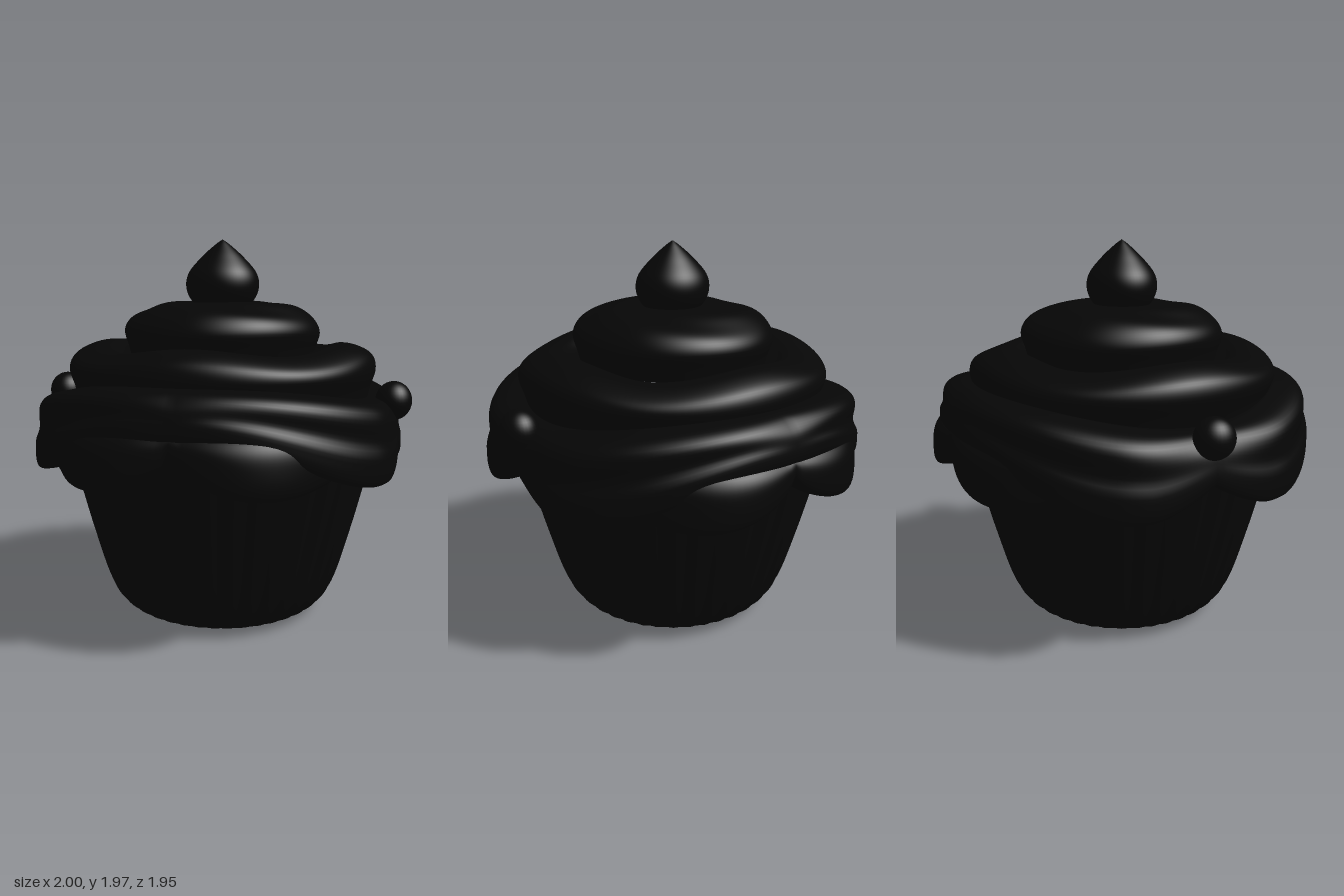
import * as THREE from 'three';
import { mergeVertices } from 'three/addons/utils/BufferGeometryUtils.js';

const material = new THREE.MeshStandardMaterial({ color: 0x060606 });
const { smoothstep, clamp, degToRad, radToDeg } = THREE.MathUtils;

// Smooth revolved surface; warp(angle, r, y) returns the adjusted [r, y].
// Profiles run bottom to top so that faces point outward.
function revolve(name, profile, segments, warp) {
  const curve = new THREE.SplineCurve(profile.map(([r, y]) => new THREE.Vector2(r, y)));
  const points = curve.getPoints(profile.length * 5).map(p => new THREE.Vector2(Math.max(p.x, 0), p.y));
  let geometry = new THREE.LatheGeometry(points, segments);
  const pos = geometry.attributes.position;
  for (let i = 0; i < pos.count; i++) {
    const x = pos.getX(i), z = pos.getZ(i);
    const a = Math.atan2(z, x);
    const [r, y] = warp(a, Math.hypot(x, z), pos.getY(i));
    pos.setXYZ(i, r * Math.cos(a), y, r * Math.sin(a));
  }
  geometry.deleteAttribute('uv');
  geometry.deleteAttribute('normal');
  geometry = mergeVertices(geometry, 1e-4);
  geometry.computeVertexNormals();
  const mesh = new THREE.Mesh(geometry, material);
  mesh.name = name;
  return mesh;
}

// Angle folded into one quadrant, in degrees: 0 at the sides, 90 at front and back
const fold = a => radToDeg(Math.atan2(Math.abs(Math.sin(a)), Math.abs(Math.cos(a))));

export function createModel() {
  const model = new THREE.Group();
  model.name = 'cupcake';

  // Pleated paper cup
  model.add(revolve('paperCup',
    [[0, 0], [0.2, 0], [0.4, 0.005], [0.5, 0.03], [0.575, 0.1], [0.63, 0.22], [0.7, 0.46], [0.75, 0.65], [0.8, 0.85], [0.82, 0.95], [0.83, 1.06]],
    240, (a, r, y) => [r + 0.005 * Math.cos(40 * a) * smoothstep(r, 0.35, 0.6), y]));

  // Scalloped hem: two lobes each at front and back, tucked under the drape at the sides
  model.add(revolve('frostingSkirt',
    [[0.78, 0.88], [0.82, 0.81], [0.9, 0.8], [0.94, 0.83], [0.945, 0.93], [0.93, 1.02], [0.88, 1.09], [0.81, 1.13]],
    192, (a, r, y) => {
      const q = fold(a);
      const bulge = Math.sin(Math.PI * clamp((q - 35) / 55, 0, 1)) ** 0.6;
      const low = clamp((1.1 - y) / 0.28, 0, 1);
      const out = smoothstep(r, 0.78, 0.92);
      const lobe = Math.sin(Math.PI * clamp((q - 48) / 42, 0, 1));
      const swell = 0.062 * lobe - 0.06 * (1 - smoothstep(q, 30, 48));
      return [r + out * swell, y + low * (1 - bulge) * (q > 60 ? 0.18 : 0.12)];
    }));

  // Draped fold: a narrow band at front and back, sweeping down into wide lobes at the sides.
  // Profile heights run from 0 at its hem to 1 at its top.
  model.add(revolve('frostingDrape',
    [[0.78, 0.1], [0.84, 0], [0.92, -0.01], [0.945, 0.1], [0.942, 0.4], [0.925, 0.68], [0.87, 0.92], [0.8, 0.99], [0.74, 1]],
    192, (a, r, v) => {
      const q = fold(a), c = Math.abs(Math.cos(a));
      const notch = (1 - Math.min(q / 20, 1)) ** 1.5;
      const hem = 0.8 + 0.26 * smoothstep(q, 24, 82) + 0.13 * notch;
      const top = 1.28 - 0.11 * c ** 3;
      const lobe = 0.055 * smoothstep(q, 0, 28) * c - 0.005 * (1 - smoothstep(q, 0, 28));
      const crease = 0.02 * Math.sin(degToRad(2 * q)) * Math.sin(9 * v) * smoothstep(v, 0.25, 0.5);
      return [r + smoothstep(r, 0.78, 0.9) * lobe + crease, hem + v * (top - hem)];
    }));

  // Upper swirls; the middle one is highest at front, back and sides
  model.add(revolve('middleSwirl',
    [[0.77, 1.16], [0.785, 1.22], [0.81, 1.31], [0.785, 1.385], [0.7, 1.43], [0.61, 1.44], [0.54, 1.41], [0.48, 1.395]],
    144, (a, r, y) => [r - 0.012 * Math.sin(a) ** 2, y - 0.04 * Math.sin(2 * a) ** 2 * smoothstep(y, 1.25, 1.43)]));
  model.add(revolve('topSwirl',
    [[0.48, 1.36], [0.495, 1.42], [0.515, 1.5], [0.475, 1.57], [0.38, 1.62], [0.26, 1.645], [0.15, 1.645], [0, 1.645]],
    144, (a, r, y) => {
      const edge = smoothstep(r, 0.1, 0.4);
      return [r * (1 + 0.03 * Math.sin(a) ** 2 * edge), y + 0.007 * edge * Math.sin(3 * a + 22 * r)];
    }));

  // Pointed drop on top, slightly thinner front to back
  model.add(revolve('topDrop',
    [[0, 1.58], [0.1, 1.6], [0.165, 1.655], [0.193, 1.725], [0.178, 1.8], [0.11, 1.88], [0.04, 1.942], [0, 1.97]],
    64, (a, r, y) => [r * (1 - 0.07 * Math.sin(a) ** 2), y]));

  // Round candies at the sides
  for (const side of [1, -1]) {
    const candy = new THREE.Mesh(new THREE.SphereGeometry(0.1, 32, 20), material);
    candy.name = side > 0 ? 'leftCandy' : 'rightCandy';
    candy.scale.set(0.93, 1, 1);
    candy.position.set(side * 0.907, 1.15, 0);
    model.add(candy);
  }
  return model;
}
